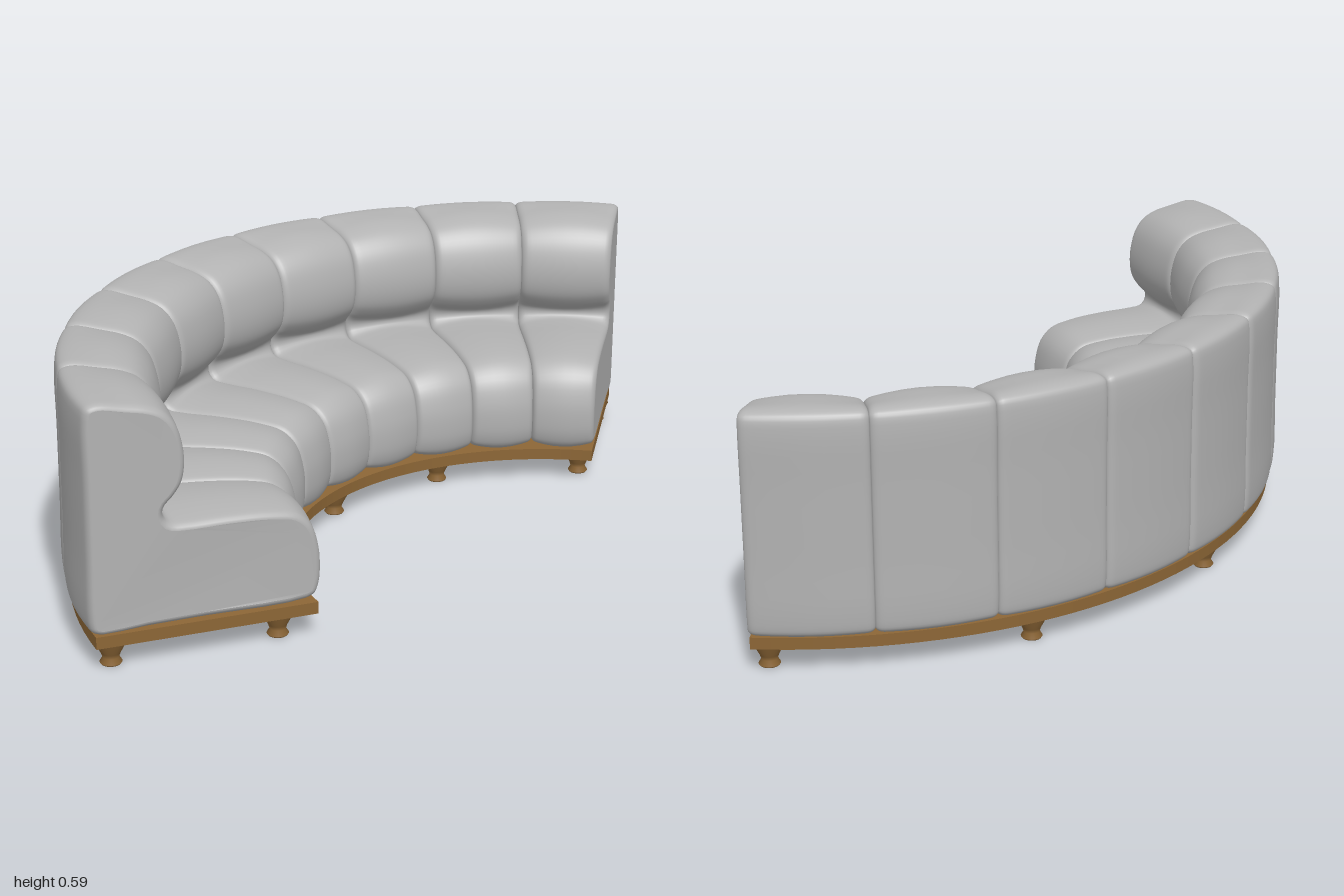
import * as THREE from 'three';

const CENTRE_Z = 0.686;   // centre of the curve
const R_BACK = 1.116;     // outer radius of the upholstery
const COUNT = 9;
const START = -62.6, STEP = 126.1 / COUNT;
const rad = THREE.MathUtils.degToRad;

// Angle of the seam line i at a distance d in front of the back (the first end is cut slightly askew)
const seamAngle = (i, d) => rad(START + STEP * i - (i === 0 ? 2.6 * d / 0.5 : 0));
const polar = (r, a) => [r * Math.sin(a), CENTRE_Z - r * Math.cos(a)];

// Side profile of backrest and seat: distance from the back, height
const PROFILE = [
  [0.006, 0.09], [0, 0.115], [0, 0.25], [0, 0.42], [0, 0.555], [0.007, 0.58], [0.03, 0.59],
  [0.08, 0.59], [0.13, 0.584], [0.175, 0.565], [0.205, 0.53], [0.221, 0.48], [0.224, 0.43],
  [0.215, 0.39], [0.195, 0.36], [0.176, 0.339], [0.18, 0.324], [0.21, 0.32], [0.3, 0.32],
  [0.4, 0.314], [0.46, 0.3], [0.497, 0.265], [0.515, 0.21], [0.519, 0.16], [0.515, 0.12],
  [0.503, 0.093], [0.475, 0.08], [0.25, 0.078], [0.03, 0.079],
];

function profilePoints() {
  const curve = new THREE.CatmullRomCurve3(
    PROFILE.map(([d, y]) => new THREE.Vector3(d, y, 0)), true, 'centripetal');
  const pts = curve.getPoints(PROFILE.length * 4).slice(0, -1);
  const n = pts.length;
  return pts.map((p, i) => {
    const a = pts[(i + n - 1) % n], b = pts[(i + 1) % n];
    const len = Math.hypot(b.x - a.x, b.y - a.y) || 1;
    return {
      d: p.x, y: p.y,
      nx: -(b.y - a.y) / len, ny: (b.x - a.x) / len,
      crown: 0.003 + 0.012 * THREE.MathUtils.smoothstep(p.x, 0.01, 0.12),
    };
  });
}

// Profile drawn in towards the seams, giving a padded section
function section(profile, s) {
  const e = Math.min(1, Math.max(0, (Math.abs(s) - 0.86) / 0.14));
  const round = 0.011 * (1 - Math.sqrt(1 - e * e));
  return profile.map(p => {
    const inset = p.crown * s * s + round;
    return new THREE.Vector2(p.d - p.nx * inset, p.y - p.ny * inset);
  });
}

function cushionGeometry(profile, i) {
  const half = [0.3, 0.6, 0.78, 0.86, 0.91, 0.95, 0.98, 0.995, 1];
  const across = [...half.map(s => -s).reverse(), 0, ...half];
  const n = profile.length, pos = [], index = [];
  const addRow = (sec, s) => sec.forEach(p => {
    const a = THREE.MathUtils.lerp(seamAngle(i, p.x), seamAngle(i + 1, p.x), (s + 1) / 2);
    const [x, z] = polar(R_BACK - p.x, a);
    pos.push(x, p.y, z);
  });
  // padded skin
  across.forEach(s => addRow(section(profile, s), s));
  for (let r = 0; r < across.length - 1; r++) {
    for (let u = 0; u < n; u++) {
      const a = r * n + u, b = r * n + (u + 1) % n;
      index.push(a, b, a + n, b, b + n, a + n);
    }
  }
  // flat side panels
  for (const s of [-1, 1]) {
    const sec = section(profile, s), base = pos.length / 3;
    addRow(sec, s);
    for (const [a, b, c] of THREE.ShapeUtils.triangulateShape(sec, [])) {
      const area = (sec[b].x - sec[a].x) * (sec[c].y - sec[a].y)
                 - (sec[c].x - sec[a].x) * (sec[b].y - sec[a].y);
      if (area * s < 0) index.push(base + a, base + b, base + c);
      else index.push(base + a, base + c, base + b);
    }
  }
  const g = new THREE.BufferGeometry();
  g.setAttribute('position', new THREE.Float32BufferAttribute(pos, 3));
  g.setIndex(index);
  g.computeVertexNormals();
  return g;
}

// Curved board under the cushions
function plinthGeometry() {
  const pts = [], steps = 54;
  const arc = (d, t) => new THREE.Vector2(...polar(R_BACK - d,
    THREE.MathUtils.lerp(seamAngle(0, d) + 0.003, seamAngle(COUNT, d) - 0.003, t)));
  for (let k = 0; k <= steps; k++) pts.push(arc(0.014, k / steps));
  for (let k = steps; k >= 0; k--) pts.push(arc(0.5, k / steps));
  const g = new THREE.ExtrudeGeometry(new THREE.Shape(pts), { depth: 0.027, bevelEnabled: false });
  g.rotateX(Math.PI / 2);
  g.translate(0, 0.081, 0);
  return g;
}

export function createModel() {
  const fabric = new THREE.MeshStandardMaterial({ color: 0xb2b2b2 });
  fabric.name = 'grey upholstery';
  const wood = new THREE.MeshStandardMaterial({ color: 0x8c6636 });
  wood.name = 'brown wood';

  const sofa = new THREE.Group();
  sofa.name = 'curvedSofa';
  const add = (geometry, material, name) => {
    const mesh = new THREE.Mesh(geometry, material);
    mesh.name = name;
    sofa.add(mesh);
    return mesh;
  };

  const profile = profilePoints();
  for (let i = 0; i < COUNT; i++) add(cushionGeometry(profile, i), fabric, `cushionSection${i + 1}`);

  add(plinthGeometry(), wood, 'plinth');

  // turned legs: taper to an ankle, then a small flared foot
  const legGeometry = new THREE.LatheGeometry([
    [0, 0], [0.021, 0], [0.024, 0.004], [0.0175, 0.015], [0.021, 0.025], [0.034, 0.05], [0.034, 0.056],
  ].map(([x, y]) => new THREE.Vector2(x, y)), 24);
  const legRows = [
    ['backLeg', [[1.06, -60.5], [1.06, -30], [1.06, 0], [1.06, 30.3], [1.06, 61.6]]],
    ['frontLeg', [[0.69, -60.8], [0.67, -29], [0.656, 0], [0.67, 29], [0.683, 60]]],
  ];
  for (const [name, spots] of legRows) {
    spots.forEach(([r, deg], k) => {
      const [x, z] = polar(r, rad(deg));
      add(legGeometry, wood, `${name}${k + 1}`).position.set(x, 0, z);
    });
  }
  return sofa;
}
